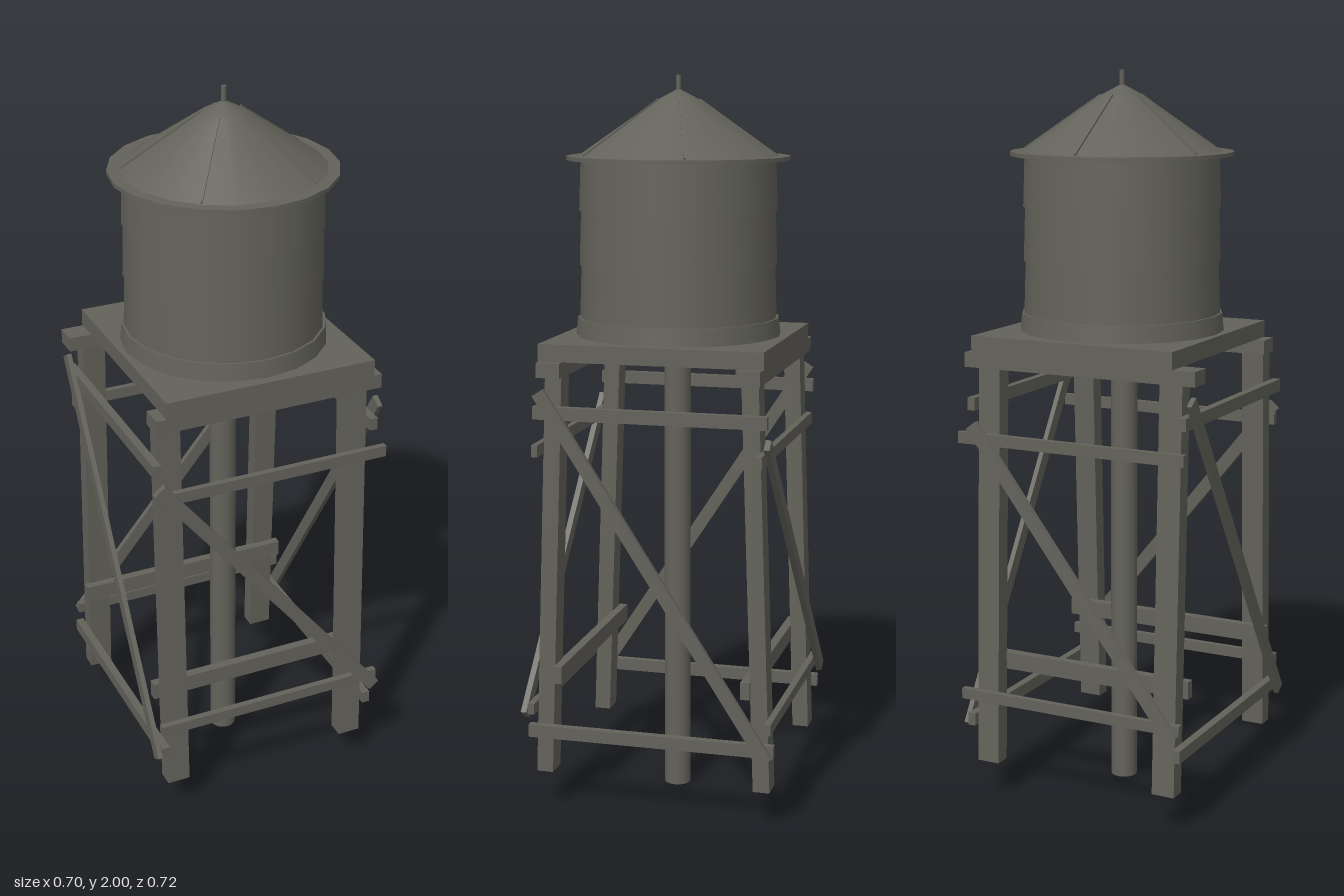
import * as THREE from 'three';

const SIDES = 20;

export function createModel() {
  const model = new THREE.Group();
  model.name = 'waterTower';
  const weathered = new THREE.MeshStandardMaterial({ color: 0x63625a });
  weathered.name = 'weathered grey';

  const add = (name, geometry, parent = model) => {
    const mesh = new THREE.Mesh(geometry, weathered);
    mesh.name = name;
    parent.add(mesh);
    return mesh;
  };
  // Box given by its limits on each axis
  const box = (name, x0, x1, y0, y1, z0, z1) => {
    const mesh = add(name, new THREE.BoxGeometry(x1 - x0, y1 - y0, z1 - z0));
    mesh.position.set((x0 + x1) / 2, (y0 + y1) / 2, (z0 + z1) / 2);
    return mesh;
  };
  // Board running from a to b, its flat face turned towards "out"
  const board = (name, a, b, width, depth, out, parent = model) => {
    const start = new THREE.Vector3(...a), end = new THREE.Vector3(...b);
    const along = end.clone().sub(start);
    const length = along.length();
    along.normalize();
    const across = new THREE.Vector3().crossVectors(along, new THREE.Vector3(...out)).normalize();
    const facing = new THREE.Vector3().crossVectors(across, along);
    const mesh = add(name, new THREE.BoxGeometry(width, length, depth), parent);
    mesh.quaternion.setFromRotationMatrix(new THREE.Matrix4().makeBasis(across, along, facing));
    mesh.position.copy(start).add(end).multiplyScalar(0.5);
    return mesh;
  };

  // Legs: upright in x, leaning inwards in z, with level ends
  for (const s of [-1, 1]) {
    for (const x of [-0.282, 0.258]) {
      const geometry = new THREE.BoxGeometry(0.065, 1.12, 0.046);
      const p = geometry.attributes.position;
      for (let i = 0; i < p.count; i++) {
        p.setZ(i, p.getZ(i) + s * (p.getY(i) > 0 ? 0.267 : 0.306));
      }
      geometry.computeVertexNormals();
      add('leg', geometry).position.set(x, 0.665, -0.003);
    }

    // Horizontal boards on the front and back
    const z = (d) => s * d - 0.003;
    const across = (name, x0, x1, y0, y1, d0, d1) =>
      box(name, x0, x1, y0, y1, Math.min(z(d0), z(d1)), Math.max(z(d0), z(d1)));
    across('upperCrossBoard', -0.33, 0.347, 1.005, 1.037, 0.296, 0.313);
    across('lowerCrossBoard', -0.333, 0.333, 0.283, 0.313, 0.321, 0.339);
    across('innerCrossBoard', -0.33, 0.305, 0.367, 0.415, 0.25, 0.275);

    // Horizontal boards on the sides
    const x0 = s > 0 ? 0.29 : -0.337, x1 = x0 + 0.022;
    box('upperSideBoard', x0, x1, 1.1, 1.135, -0.32, 0.317);
    box('lowerSideBoard', x0, x1, 0.21, 0.245, -0.345, 0.342);
  }

  // Diagonal braces, one on each face
  board('frontBrace', [-0.32, 1.06, 0.314], [0.318, 0.275, 0.349], 0.036, 0.016, [0, 0, 1]);
  board('backBrace', [0.3, 1.06, -0.32], [-0.318, 0.275, -0.353], 0.036, 0.016, [0, 0, -1]);
  board('leftBrace', [0.32, 1.175, 0.298], [0.32, 0.205, -0.328], 0.036, 0.014, [1, 0, 0]);
  board('rightBrace', [-0.343, 1.175, -0.3], [-0.343, 0.205, 0.328], 0.036, 0.014, [-1, 0, 0]);

  // Beams on the legs
  box('backBeam', -0.355, 0.328, 1.215, 1.255, -0.305, -0.24);
  box('frontBeam', -0.32, 0.328, 1.215, 1.255, 0.235, 0.3);

  // Deck with rim and joists below
  box('deck', -0.292, 0.304, 1.275, 1.302, -0.309, 0.302);
  for (const z of [-0.309, 0.282]) box('deckRim', -0.292, 0.304, 1.255, 1.275, z, z + 0.02);
  for (let i = 0; i < 6; i++) {
    const x = -0.292 + i * 0.1092;
    box('joist', x, x + 0.05, 1.255, 1.275, -0.289, 0.282);
  }

  // Pipe from the ground to the tank
  add('pipe', new THREE.CylinderGeometry(0.037, 0.037, 1.28, 16)).position.y = 0.64;

  const tank = new THREE.Group();
  tank.name = 'tank';
  tank.position.set(0.004, 0, -0.004);
  model.add(tank);
  const round = (name, top, bottom, y0, y1, open = false, sides = SIDES) => {
    const geometry = new THREE.CylinderGeometry(top, bottom, y1 - y0, sides, 1, open);
    const mesh = add(name, geometry, tank);
    mesh.position.y = (y0 + y1) / 2;
    return mesh;
  };

  // Tank foot and three slightly flared wall sections
  round('tankFoot', 0.276, 0.281, 1.3, 1.35);
  const levels = [1.345, 1.492, 1.638, 1.78];
  for (let i = 0; i < 3; i++) round('tankWall', 0.265, 0.27, levels[i], levels[i + 1]);

  // Eave, roof, cap and rod
  round('eave', 0.304, 0.304, 1.774, 1.785);
  round('roof', 0.055, 0.272, 1.785, 1.935);
  round('roofCap', 0.007, 0.06, 1.932, 1.96);
  round('rod', 0.007, 0.007, 1.955, 2, false, 8);

  // Raised seams on the roof
  for (let i = 0; i < 5; i++) {
    const a = -Math.PI / 2 + (i * Math.PI * 2) / 5;
    const c = Math.cos(a), s = Math.sin(a);
    board('roofSeam', [c * 0.27, 1.788, s * 0.27], [c * 0.058, 1.934, s * 0.058],
      0.005, 0.006, [c, 1.4, s], tank);
  }

  return model;
}
